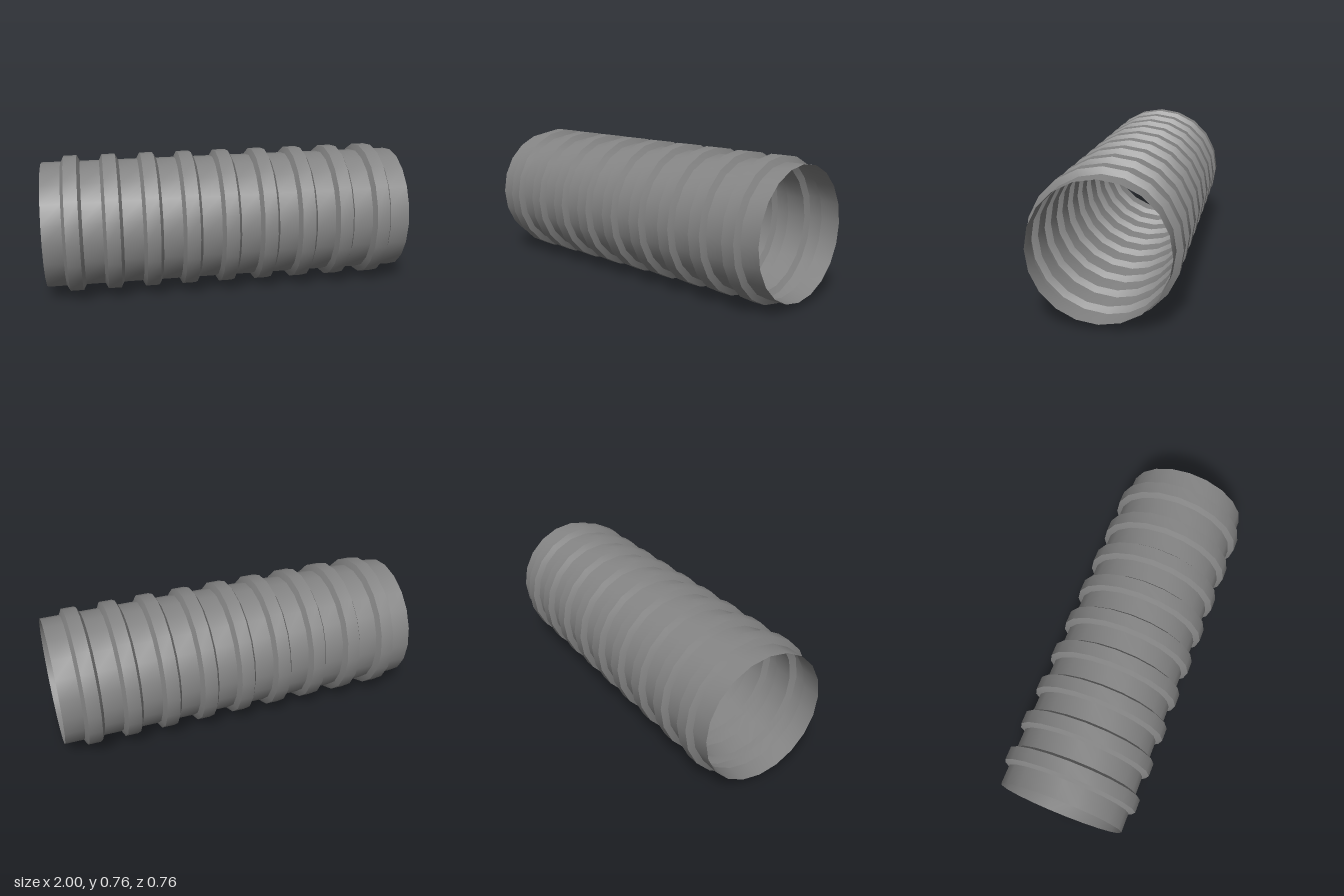
import * as THREE from 'three';
import { toCreasedNormals } from 'three/addons/utils/BufferGeometryUtils.js';

const SIDES = 20;
const PIPE_RADIUS = 0.348;
const RIB_RADIUS = 0.38;
const RIB_COUNT = 9;
const RIB_SPACING = 0.2105;
const RIB_BASE = 0.053; // half width where a rib meets the pipe
const RIB_TOP = 0.036; // half width of a rib's flat crest

export function createModel() {
  const group = new THREE.Group();
  group.name = 'corrugatedPipe';

  // Pipe wall profile: straight sleeve with evenly spaced raised ribs
  const profile = [new THREE.Vector2(PIPE_RADIUS, -1)];
  for (let i = 0; i < RIB_COUNT; i++) {
    const c = (i - (RIB_COUNT - 1) / 2) * RIB_SPACING;
    profile.push(
      new THREE.Vector2(PIPE_RADIUS, c - RIB_BASE),
      new THREE.Vector2(RIB_RADIUS, c - RIB_TOP),
      new THREE.Vector2(RIB_RADIUS, c + RIB_TOP),
      new THREE.Vector2(PIPE_RADIUS, c + RIB_BASE)
    );
  }
  profile.push(new THREE.Vector2(PIPE_RADIUS, 1));

  // Thin open shell, smooth around its girth with crisp rib edges
  const shell = new THREE.LatheGeometry(profile, SIDES);
  shell.rotateZ(-Math.PI / 2);
  const pipe = new THREE.Mesh(
    toCreasedNormals(shell, 0.5),
    new THREE.MeshStandardMaterial({ color: 0x848484, side: THREE.DoubleSide })
  );
  pipe.name = 'ribbedPipeWall';
  pipe.position.y = RIB_RADIUS;
  group.add(pipe);

  return group;
}
